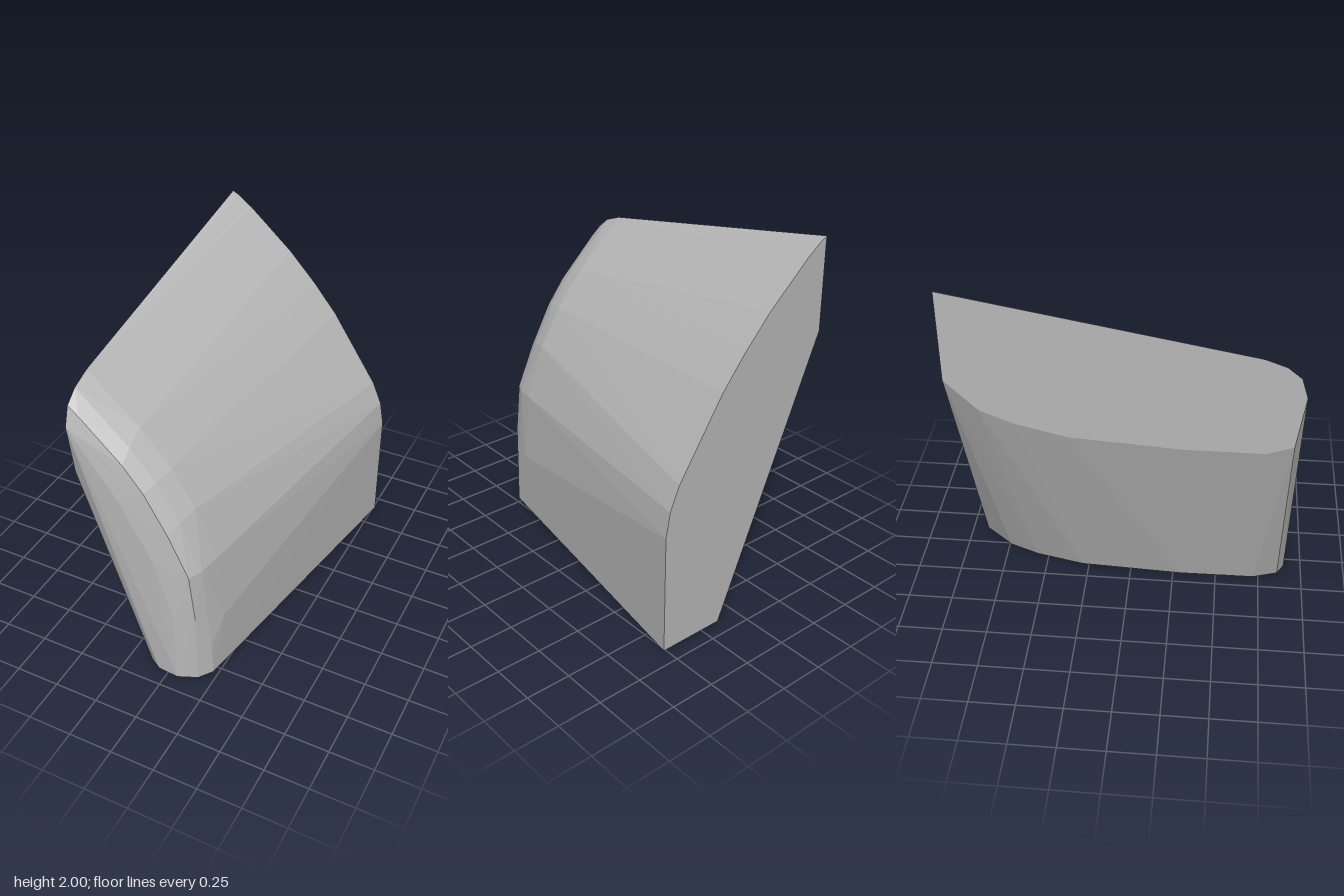
import * as THREE from 'three';
import { ConvexGeometry } from 'three/addons/geometries/ConvexGeometry.js';

// Places a 2D outline (x, y) on a plane of constant z
const section = (z, outline) => outline.map(([x, y]) => new THREE.Vector3(x, y, z));

export function createModel() {
  const grey = new THREE.MeshStandardMaterial({ color: 0xb8b8b8, flatShading: true });
  grey.name = 'plain grey';

  // Flat back wall
  const back = section(-0.91, [
    [-0.51, 2], [-0.48, 1.985], [-0.39, 1.92], [-0.14, 1.7], [0.02, 1.53], [0.16, 1.36],
    [0.43, 0.95], [0.485, 0.82], [0.51, 0.68], [0.51, 0], [0.13, 0], [-0.51, 1.5],
  ]);

  // Shoulder where the outer slope starts to round over
  const shoulder = section(0.68, [
    [-0.51, 1.71], [-0.43, 1.63], [-0.22, 1.45], [-0.05, 1.25], [0.08, 1.04],
    [0.19, 0.74], [0.235, 0.35], [0.24, 0],
  ]);
  const bevel = section(0.79, [
    [-0.51, 1.67], [-0.44, 1.6], [-0.22, 1.4], [-0.08, 1.23], [0.05, 1.01],
    [0.165, 0.73], [0.215, 0.2], [0.22, 0],
  ]);

  // Rim of the front wall
  const rim = section(0.865, [
    [-0.51, 1.61], [-0.45, 1.56], [-0.22, 1.34], [-0.11, 1.2], [0.02, 0.97],
    [0.13, 0.73], [0.16, 0.45], [0.165, 0],
  ]);

  // Gently bulging front wall
  const front = section(0.9, [
    [-0.51, 1.5], [-0.45, 1.42], [-0.25, 1.15], [-0.06, 0.8], [0.05, 0.45], [-0.06, 0],
  ]);
  const toe = section(0.91, [[0.06, 0]]);

  // Undercut inner side: [z, x at the ground, y at the left wall]
  const inner = [
    [-0.74, -0.01, 1.33], [-0.57, -0.08, 1.26], [-0.29, -0.145, 1.19], [0.3, -0.175, 1.15],
    [0.72, -0.17, 1.15], [0.86, -0.125, 1.2],
  ].flatMap(([z, x, y]) => [new THREE.Vector3(x, 0, z), new THREE.Vector3(-0.51, y, z)]);

  const block = new THREE.Mesh(
    new ConvexGeometry([...back, ...shoulder, ...bevel, ...rim, ...front, ...toe, ...inner]),
    grey,
  );
  block.name = 'roundedWedge';

  const group = new THREE.Group();
  group.name = 'wedgeBlock';
  group.add(block);
  return group;
}
